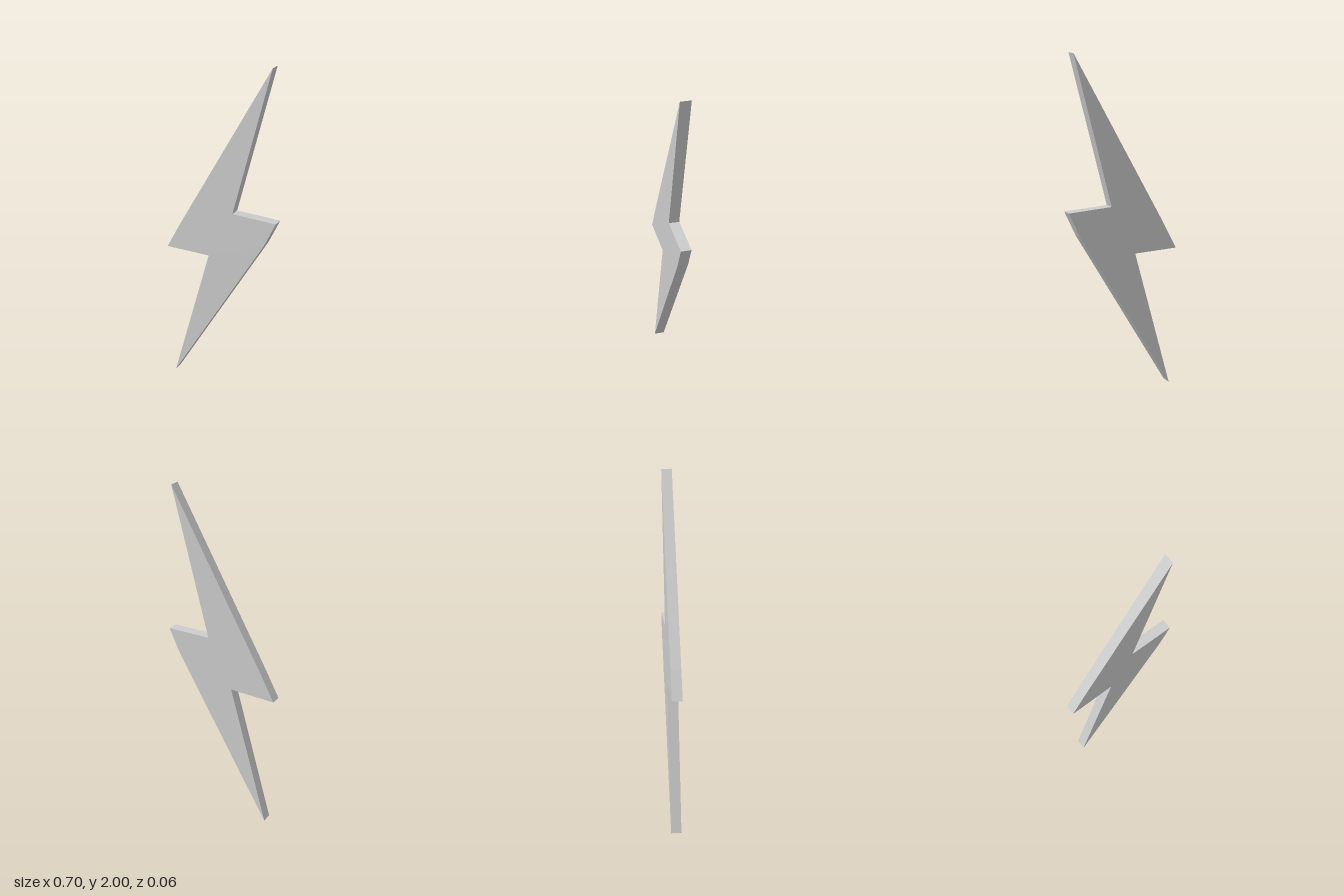
import * as THREE from 'three';

const DEPTH = 0.06;

export function createModel() {
  const model = new THREE.Group();
  model.name = 'lightningBolt';

  // Zigzag outline, counter-clockwise from the upper tip
  const outline = [
    [0.308, 2], [-0.267, 1], [-0.35, 0.847], [-0.073, 0.847],
    [-0.312, 0], [0.28, 0.988], [0.348, 1.132], [0.08, 1.14],
  ].map(([x, y]) => new THREE.Vector2(x, y));

  // Flat plate with sharp edges
  const geometry = new THREE.ExtrudeGeometry(new THREE.Shape(outline), {
    depth: DEPTH,
    bevelEnabled: false,
  });
  geometry.translate(0, 0, -DEPTH / 2);

  const bolt = new THREE.Mesh(
    geometry,
    new THREE.MeshStandardMaterial({ color: 0xcccccc, flatShading: true })
  );
  bolt.name = 'boltPlate';
  model.add(bolt);
  return model;
}
